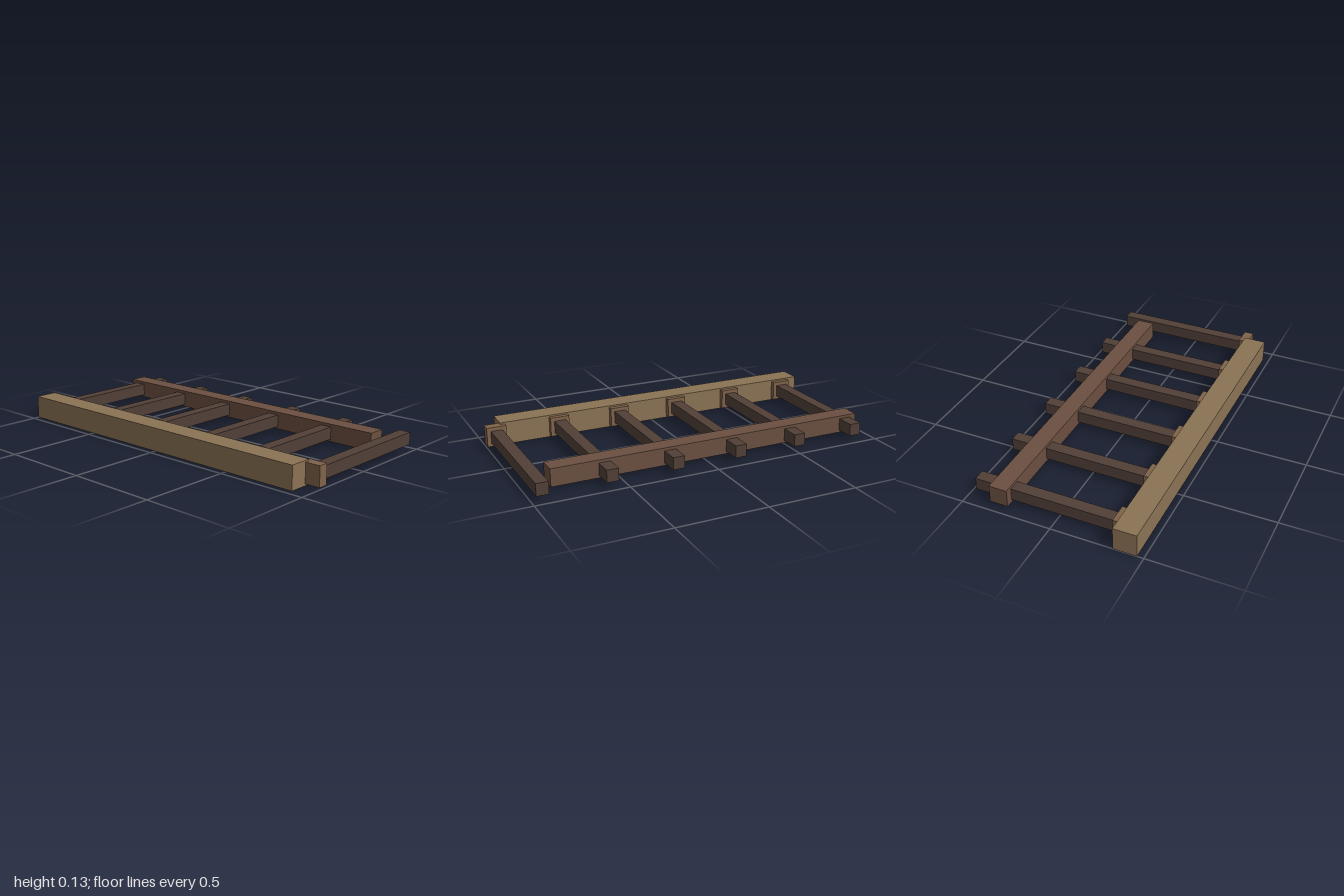
import * as THREE from 'three';

const material = (color) => new THREE.MeshStandardMaterial({ color });

// Box given by its extents along each axis
function beam(name, [x0, x1], [y0, y1], [z0, z1], mat) {
  const mesh = new THREE.Mesh(new THREE.BoxGeometry(x1 - x0, y1 - y0, z1 - z0), mat);
  mesh.position.set((x0 + x1) / 2, (y0 + y1) / 2, (z0 + z1) / 2);
  mesh.name = name;
  return mesh;
}

export function createModel() {
  const group = new THREE.Group();
  group.name = 'timberRack';
  const beamWood = material(0x8b7355);
  const collarWood = material(0x80634a);
  const railWood = material(0x6b5040);
  const barWood = material(0x513f37);

  // Heavy front beam and lighter rear rail
  group.add(beam('frontBeam', [-1, 0.915], [0, 0.128], [0.338, 0.465], beamWood));
  group.add(beam('rearRail', [-0.957, 0.868], [0.016, 0.114], [-0.361, -0.26], railWood));

  // Evenly spaced cross bars, each seated in a collar at the front beam
  const count = 6, first = -0.883, spacing = 0.3654;
  for (let i = 0; i < count; i++) {
    const x = first + i * spacing;
    const bar = new THREE.Group();
    bar.name = `crossBar${i + 1}`;
    bar.position.x = x;
    bar.add(beam('bar', [-0.033, 0.033], [0.03, 0.098], [-0.465, 0.345], barWood));
    bar.add(beam('collar', [-0.055, 0.055], [0.01, 0.119], [0.31, 0.365], collarWood));
    group.add(bar);
  }
  return group;
}
